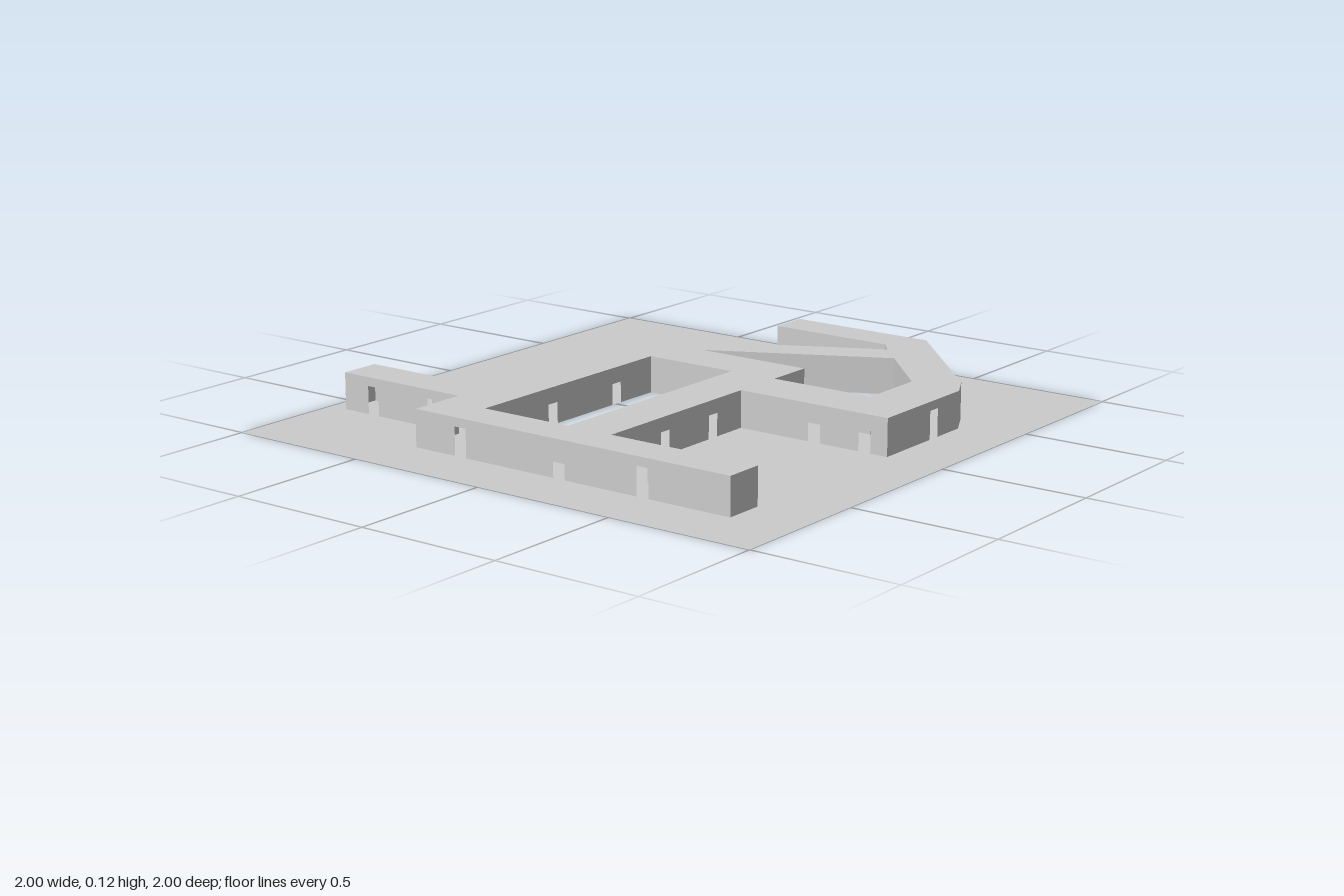
import * as THREE from 'three';

const HEIGHT = 0.125, DOOR_HEIGHT = 0.095;

// Plan corners as [x, z]; outer loop counter-clockwise and courtyards clockwise from above
const outline = [
  [-0.79, -0.44], [-0.59, -0.44], [-0.59, -0.935], [-0.45, -0.935], [-0.45, -0.44],
  [0.365, -0.44], [0.75, 0.31], [0.805, 0.265], [0.805, -0.185], [0.94, -0.185],
  [0.94, 0.345], [0.52, 0.745], [0.425, 0.795], [0.01, 0.795], [0.01, 0.235],
  [-0.655, 0.235], [-0.655, 0.78], [-0.79, 0.78],
].reverse();
const courtyards = [
  [[-0.655, -0.27], [0.19, -0.27], [0.19, 0.065], [-0.655, 0.065]],
  [[0.365, -0.185], [0.66, 0.395], [0.435, 0.61], [0.195, 0.61], [0.195, 0.235], [0.365, 0.235]],
];
const square = [[-1, 1], [1, 1], [1, -1], [-1, -1]];

// Door centres as [x, z, width]
const doors = [
  [-0.655, 0.647], [-0.655, 0.35], [-0.388, 0.235], [-0.14, 0.235],   // front court
  [0.01, 0.52], [0.01, 0.71], [0.278, 0.795], [0.671, 0.601],         // front block
  [0.94, 0.21], [0.94, -0.067], [0.452, -0.27, 0.084],                // right arm, slanted wall
  [-0.45, -0.703], [-0.59, -0.81], [-0.59, -0.55],                    // back wing
  [0.045, -0.44], [-0.23, -0.44],                                     // back wall
  [-0.79, -0.255], [-0.79, 0.14], [-0.79, 0.46],                      // side wall
  [-0.655, -0.125], [-0.324, -0.27], [0.004, -0.27], [-0.085, 0.065], [-0.47, 0.065], // courtyard
];

const material = new THREE.MeshStandardMaterial({ color: 0xcccccc, side: THREE.DoubleSide, flatShading: true });

// Flat horizontal slab with the courtyards cut out
function plate(name, loop, y) {
  const points = (l) => l.map(([x, z]) => new THREE.Vector2(x, -z));
  const shape = new THREE.Shape(points(loop));
  for (const c of courtyards) shape.holes.push(new THREE.Path(points(c)));
  const mesh = new THREE.Mesh(new THREE.ShapeGeometry(shape).rotateX(-Math.PI / 2), material);
  mesh.position.y = y;
  mesh.name = name;
  return mesh;
}

// Upright wall from a to b, notched wherever a door lies on it
function wall(name, [ax, az], [bx, bz]) {
  const length = Math.hypot(bx - ax, bz - az);
  const ux = (bx - ax) / length, uz = (bz - az) / length;
  const cuts = doors
    .map(([x, z, w = 0.045]) => ({
      along: (x - ax) * ux + (z - az) * uz,
      off: Math.abs((x - ax) * uz - (z - az) * ux),
      half: w / 2,
    }))
    .filter((d) => d.off < 0.01 && d.along > d.half && d.along < length - d.half)
    .sort((p, q) => p.along - q.along);
  const shape = new THREE.Shape().moveTo(0, 0);
  for (const { along, half } of cuts) {
    shape.lineTo(along - half, 0).lineTo(along - half, DOOR_HEIGHT);
    shape.lineTo(along + half, DOOR_HEIGHT).lineTo(along + half, 0);
  }
  shape.lineTo(length, 0).lineTo(length, HEIGHT).lineTo(0, HEIGHT);
  const mesh = new THREE.Mesh(new THREE.ShapeGeometry(shape), material);
  mesh.rotation.y = -Math.atan2(uz, ux);
  mesh.position.set(ax, 0, az);
  mesh.name = name;
  return mesh;
}

function wallLoop(name, loop) {
  const group = new THREE.Group();
  group.name = name;
  loop.forEach((p, i) => group.add(wall('wall', p, loop[(i + 1) % loop.length])));
  return group;
}

export function createModel() {
  const model = new THREE.Group();
  model.name = 'courtyardBuilding';
  model.add(plate('ground', square, 0));
  model.add(plate('roof', outline, HEIGHT));
  model.add(wallLoop('outerWalls', outline));
  courtyards.forEach((c) => model.add(wallLoop('courtyardWalls', c)));
  return model;
}
